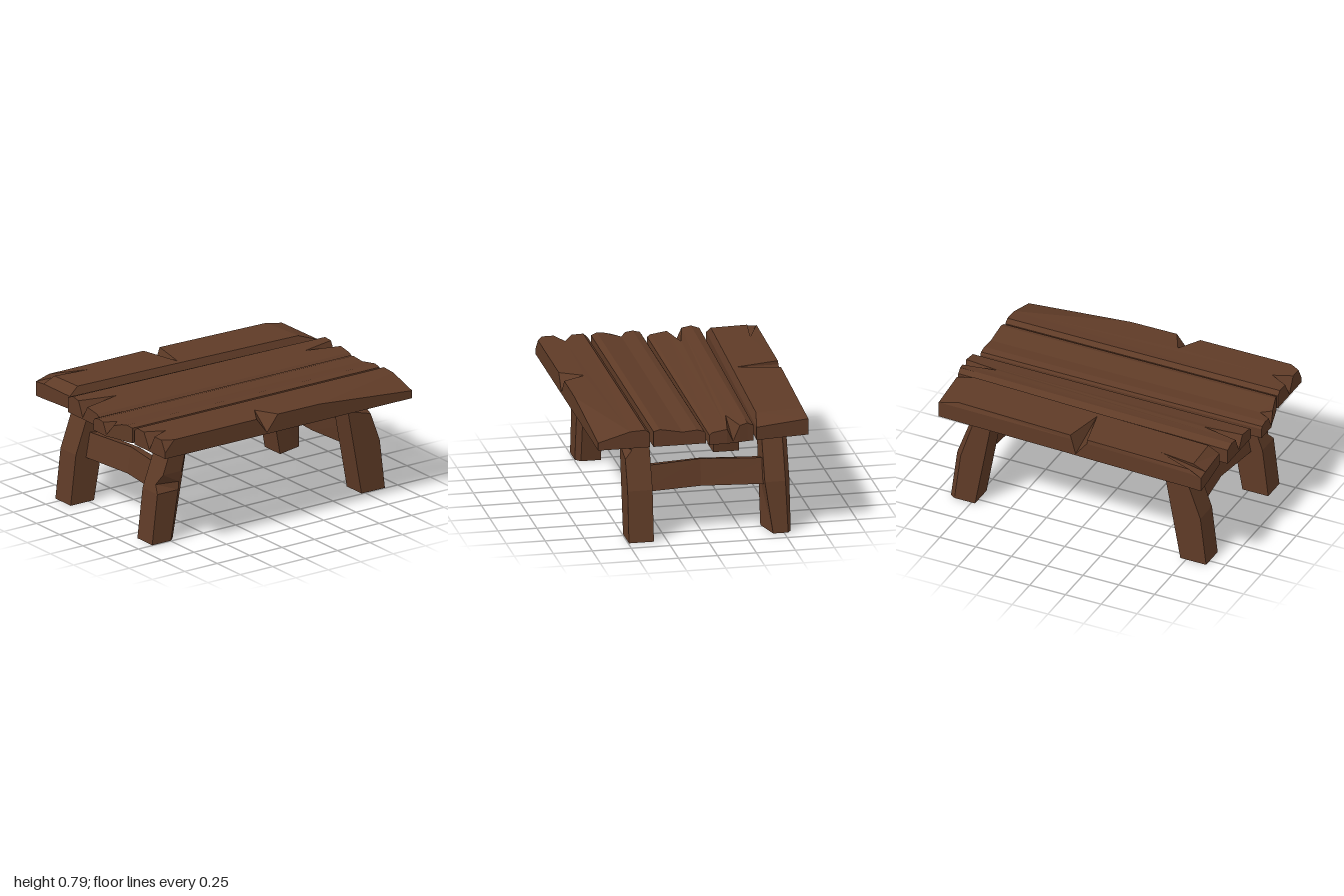
import * as THREE from 'three';

const wood = new THREE.MeshStandardMaterial({ color: 0x5f3b27, flatShading: true });
const V = (x, y, z) => new THREE.Vector3(x, y, z);

// Skin between rings of points; caps are split into cells along the cuts
function loft(name, rings, cuts = [], capped = true) {
  const pos = [];
  const tri = (a, b, c) => {
    const n = b.clone().sub(a).cross(c.clone().sub(a));
    if (n.length() > 1e-8) for (const p of [a, b, c]) pos.push(p.x, p.y, p.z);
  };
  const n = rings[0].length;
  for (let r = 0; r < rings.length - 1; r++) {
    const a = rings[r], b = rings[r + 1];
    for (let i = 0; i < n; i++) {
      const j = (i + 1) % n;
      tri(a[i], a[j], b[i]);
      tri(a[j], b[j], b[i]);
    }
  }
  const cap = (ring, cell, up) => {
    const flat = cell.map(k => new THREE.Vector2(ring[k].x, -ring[k].z));
    for (const f of THREE.ShapeUtils.triangulateShape(flat, [])) {
      const ccw = THREE.ShapeUtils.area(f.map(k => flat[k])) > 0;
      const [a, b, c] = f.map(k => ring[cell[k]]);
      if (ccw === up) tri(a, b, c); else tri(a, c, b);
    }
  };
  if (capped) {
    const all = [...Array(n).keys()];
    cap(rings[0], all, false);
    let rest = all;
    for (const [f, b] of cuts) {
      cap(rings.at(-1), rest.filter(k => k <= f || k >= b), true);
      rest = rest.filter(k => k >= f && k <= b);
    }
    cap(rings.at(-1), rest, true);
  }
  const geo = new THREE.BufferGeometry();
  geo.setAttribute('position', new THREE.Float32BufferAttribute(pos, 3));
  geo.computeVertexNormals();
  const mesh = new THREE.Mesh(geo, wood);
  mesh.name = name;
  return mesh;
}

// Plank: outline points [x, z, edge height, then optional inset top x, z, height]
function plank(name, outline, cuts) {
  return loft(name, [
    outline.map(([x, z]) => V(x, 0.65, z)),
    outline.map(([x, z, y]) => V(x, y, z)),
    outline.map(([x, z, y, tx = x, tz = z, ty = y]) => V(tx, ty, tz)),
  ], cuts);
}

const lerp = THREE.MathUtils.lerp;

// Leg: bent outwards at the knee, with one chipped edge and one cut corner
function leg(name, x0, x1, side, chipY, cutCorner) {
  const shift = side < 0 ? 0.015 : 0;
  let levels = [0, 0.33, 0.655];
  if (chipY) levels.push(chipY - 0.05, chipY, chipY + 0.07);
  levels = [...new Set(levels.map(y => +y.toFixed(3)))].sort((a, b) => a - b);
  const rings = levels.map(y => {
    const outer = shift + (y < 0.33 ? lerp(0.89, 0.85, y / 0.33) : lerp(0.85, 0.73, (y - 0.33) / 0.325));
    const inner = shift + lerp(0.71, 0.59, y / 0.655);
    const chip = y === chipY ? 0.045 : 0;
    const c = [[x0, outer], [x1 - chip, outer], [x1, inner], [x0, inner]];
    const loop = c.flatMap((p, i) => {
      if (i !== cutCorner) return [p];
      return [c[(i + 3) % 4], c[(i + 1) % 4]].map(q => [lerp(p[0], q[0], 0.2), lerp(p[1], q[1], 0.2)]);
    }).map(([x, z]) => V(x, y, z * side));
    return side > 0 ? loop : loop.reverse();
  });
  return loft(name, rings);
}

// Rail: leans with the legs and bows inwards at the middle
function rail(name, side) {
  const shift = side < 0 ? 0.03 : 0;
  const rings = [[-0.46, 0.67, 0.08, 0.46], [0, 0.637, 0.06, 0.468], [0.42, 0.67, 0.08, 0.46]].map(([x, z, t, top]) => {
    const loop = [[0.28, z + 0.03], [top - 0.015, z], [top, z + t], [0.298, z + t + 0.03]]
      .map(([y, w]) => V(x, y, (w + shift) * side));
    return side > 0 ? loop : loop.reverse();
  });
  return loft(name, rings, [], false);
}

export function createModel() {
  const table = new THREE.Group();
  table.name = 'plankTable';

  // Thick skewed plank with bevelled top, corner crack and side notch
  table.add(plank('bevelledPlank', [
    [-0.705, 0.93, 0.745, -0.6, 0.6, 0.785],
    [-0.63, 0.925, 0.75, -0.63, 0.84, 0.785],
    [-0.38, 0.9, 0.735, -0.395, 0.83, 0.785],
    [-0.31, -0.97, 0.735, -0.335, -0.83, 0.785],
    [-0.65, -0.93, 0.755, -0.64, -0.8, 0.785],
    [-0.675, 0, 0.76, -0.67, 0, 0.785],
    [-0.677, 0.04, 0.66, -0.4, 0.055, 0.785],
    [-0.68, 0.12, 0.76, -0.675, 0.12, 0.785],
    [-0.7, 0.85, 0.755, -0.69, 0.84, 0.78],
  ]));

  // Plank notched at both ends
  table.add(plank('notchedPlank', [
    [-0.345, 0.94, 0.75], [-0.29, 0.94, 0.77], [-0.23, 0.94, 0.76],
    [-0.185, 0.94, 0.66, -0.175, 0.69, 0.757],
    [-0.135, 0.94, 0.745], [-0.03, 0.94, 0.73], [-0.01, 0.94, 0.715],
    [0, -1, 0.715], [-0.02, -1, 0.73], [-0.115, -1, 0.745],
    [-0.155, -0.99, 0.66, -0.155, -0.76, 0.755],
    [-0.2, -0.985, 0.76], [-0.25, -0.975, 0.77], [-0.29, -0.97, 0.75],
  ], [[1, 12], [2, 11], [4, 9], [5, 8]]));

  // Plank with a lengthwise groove and a slanted front end
  table.add(plank('groovedPlank', [
    [0.015, 1, 0.715], [0.025, 1, 0.73], [0.07, 1, 0.742], [0.12, 1, 0.735],
    [0.155, 1, 0.66, 0.16, 0.92, 0.735],
    [0.21, 0.982, 0.735], [0.27, 0.965, 0.755], [0.31, 0.953, 0.762], [0.35, 0.94, 0.75],
    [0.35, -0.965, 0.75], [0.31, -0.965, 0.762], [0.27, -0.965, 0.755], [0.165, -0.965, 0.735],
    [0.07, -0.965, 0.742], [0.025, -0.965, 0.73], [0.015, -0.965, 0.715],
  ], [[1, 14], [2, 13], [4, 12], [6, 11], [7, 10]]));

  // Outer plank with end notch, chipped corner, side notch and worn back corner
  table.add(plank('wornPlank', [
    [0.372, 0.94, 0.74], [0.4, 0.94, 0.765], [0.475, 0.94, 0.763],
    [0.535, 0.94, 0.66, 0.54, 0.82, 0.765],
    [0.59, 0.94, 0.765], [0.665, 0.94, 0.765],
    [0.705, 0.94, 0.69, 0.685, 0.905, 0.765],
    [0.705, 0.87, 0.765], [0.705, 0.235, 0.765],
    [0.705, 0.155, 0.66, 0.56, 0.148, 0.765],
    [0.705, 0.07, 0.765], [0.705, -0.25, 0.763], [0.705, -0.965, 0.7],
    [0.5, -0.965, 0.76], [0.4, -0.965, 0.765], [0.372, -0.965, 0.74],
  ], [[1, 14], [11, 13]]));

  // Legs
  table.add(
    leg('frontRightLeg', -0.55, -0.385, 1),
    leg('frontLeftLeg', 0.335, 0.495, 1, 0.38, 2),
    leg('backRightLeg', -0.55, -0.385, -1, 0, 0),
    leg('backLeftLeg', 0.335, 0.495, -1, 0.57),
  );

  // Cross rails
  table.add(rail('frontRail', 1), rail('backRail', -1));
  return table;
}
